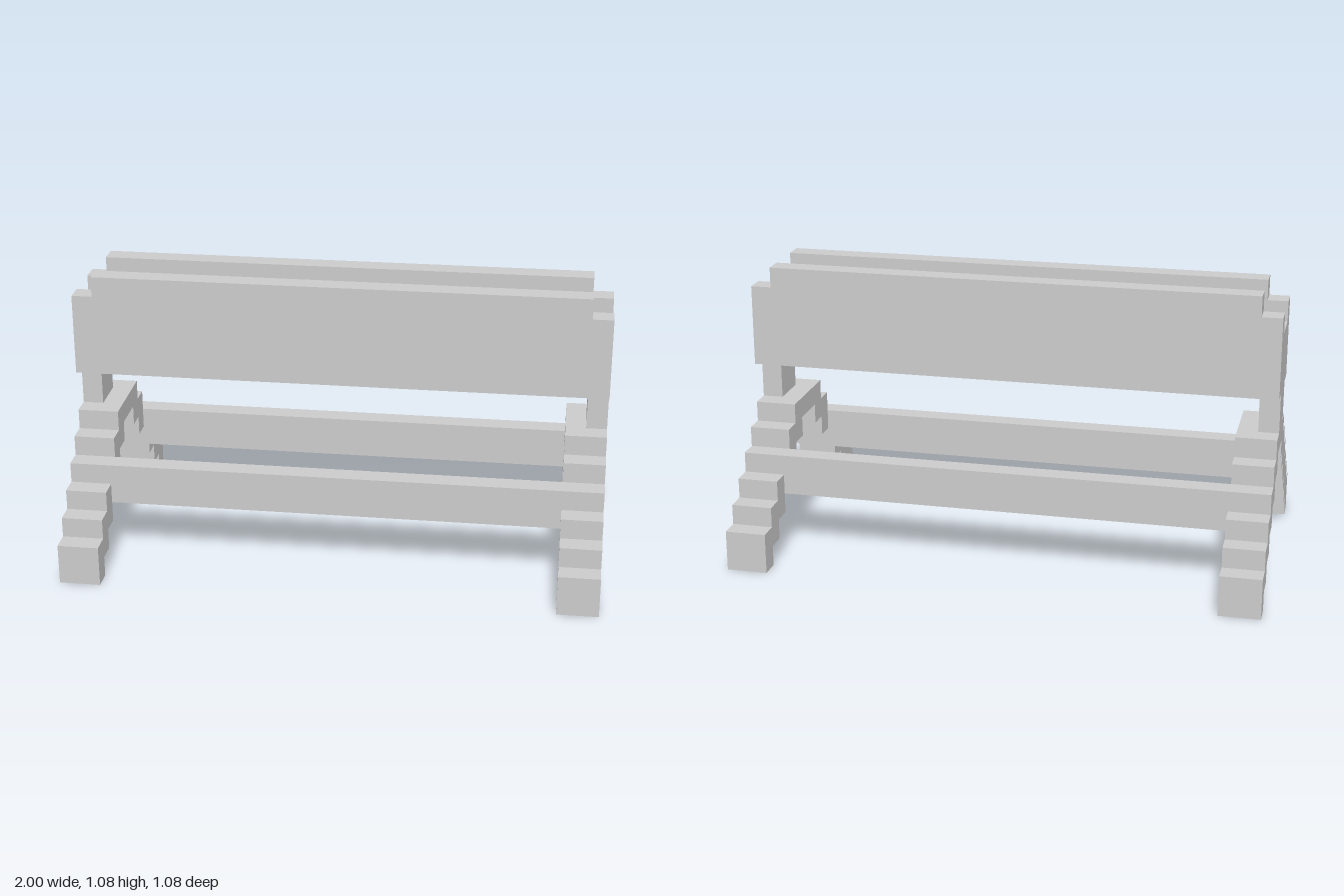
import * as THREE from 'three';

const U = 1 / 13; // edge of one block
const material = new THREE.MeshStandardMaterial({ color: 0xcccccc, flatShading: true });

// Extrudes an outline given in blocks, centred on its depth
function slab(name, outline, depth) {
  const shape = new THREE.Shape(outline.map(([a, b]) => new THREE.Vector2(a * U, b * U)));
  const geometry = new THREE.ExtrudeGeometry(shape, { depth: depth * U, bevelEnabled: false });
  geometry.translate(0, 0, -depth * U / 2);
  const mesh = new THREE.Mesh(geometry, material);
  mesh.name = name;
  return mesh;
}

function box(name, w, h, d, x, y, z) {
  const mesh = new THREE.Mesh(new THREE.BoxGeometry(w * U, h * U, d * U), material);
  mesh.name = name;
  mesh.position.set(x * U, y * U, z * U);
  return mesh;
}

// Half of the stepped A-frame: upper edge climbs inward, lower edge descends outward
function legOutline() {
  const upper = [], lower = [];
  for (let i = 0; i < 6; i++) {
    upper.push([7 - i, i + 2], [6 - i, i + 2]);
    lower.push([1 + i, 5 - i], [2 + i, 5 - i]);
  }
  const right = [[1, 6], ...lower, ...upper];
  const left = right.map(([a, b]) => [-a, b]).reverse();
  return [...right, ...left];
}

export function createModel() {
  const model = new THREE.Group();
  model.name = 'trestleStand';

  for (const side of [1, -1]) {
    const prefix = side > 0 ? 'left' : 'right';

    // Stepped legs and the post above them
    const legs = slab(prefix + 'Legs', legOutline(), 2);
    legs.rotation.y = Math.PI / 2;
    legs.position.x = side * 12 * U;
    model.add(legs);
    model.add(box(prefix + 'Post', 1, 5, 2, side * 12.5, 9.5, 0));
  }

  // Upper boards with notched top corners, and lower rails
  const board = [[-13, 9], [13, 9], [13, 13], [12, 13], [12, 14], [-12, 14], [-12, 13], [-13, 13]];
  for (const side of [1, -1]) {
    const prefix = side > 0 ? 'front' : 'back';
    const upper = slab(prefix + 'Board', board, 1);
    upper.position.z = side * 1.5 * U;
    model.add(upper);
    model.add(box(prefix + 'Rail', 22, 2, 1, 0, 4, side * 3.5));
  }

  return model;
}
